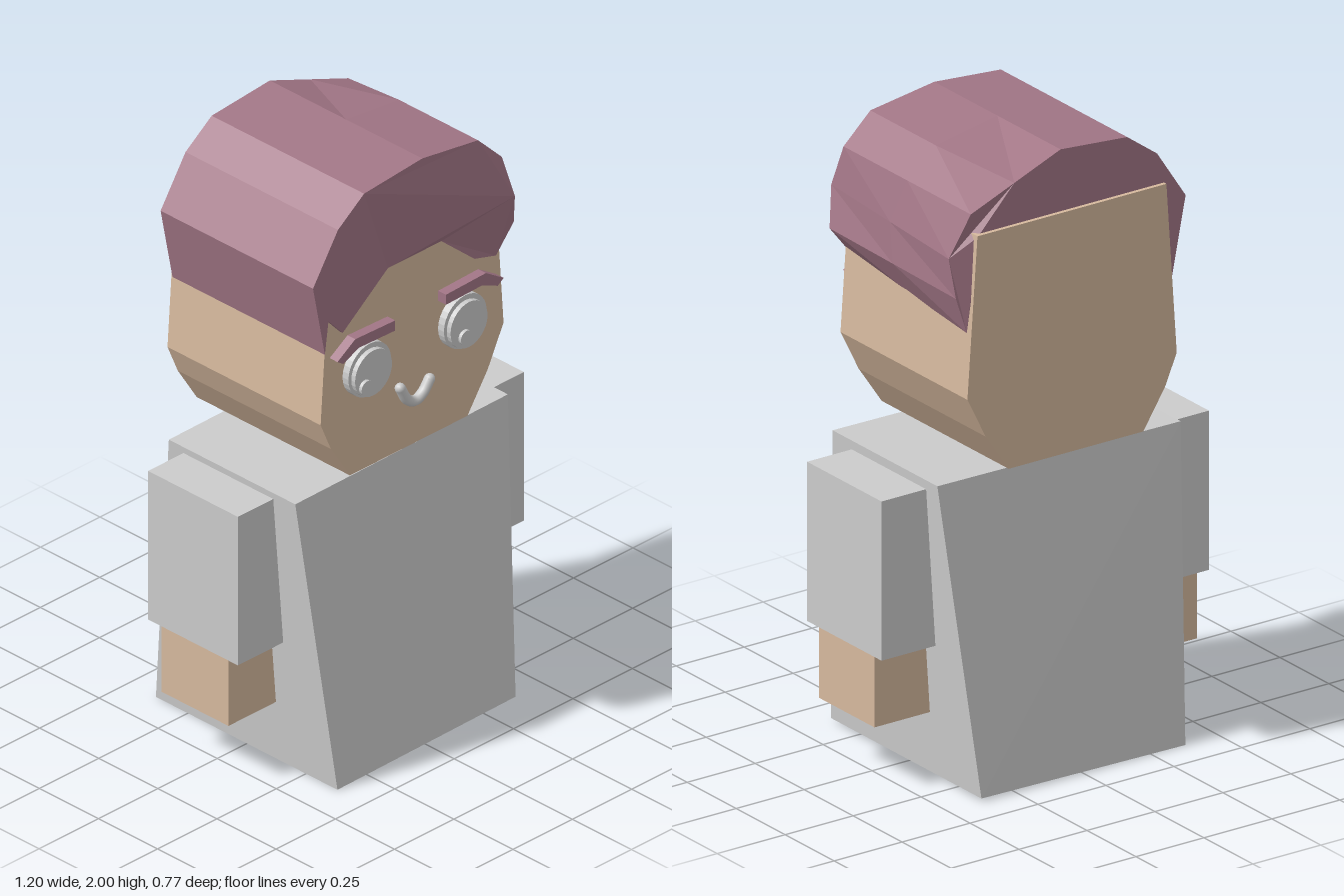
import * as THREE from 'three';

const material = (color) => new THREE.MeshStandardMaterial({ color, flatShading: true });
const GREY = material(0xcccccc), SKIN = material(0xd6b99e), HAIR = material(0xa27686);
const SMOOTH = new THREE.MeshStandardMaterial({ color: 0xcccccc });

function add(parent, name, geometry, mat) {
  const mesh = new THREE.Mesh(geometry, mat);
  mesh.name = name;
  parent.add(mesh);
  return mesh;
}

// Box given by its minimum and maximum corners
function boxBetween([x0, y0, z0], [x1, y1, z1]) {
  return new THREE.BoxGeometry(x1 - x0, y1 - y0, z1 - z0)
    .translate((x0 + x1) / 2, (y0 + y1) / 2, (z0 + z1) / 2);
}

// Outline in x and y, extruded from z0 to z1
function slab(points, z0, z1) {
  const shape = new THREE.Shape(points.map(([x, y]) => new THREE.Vector2(x, y)));
  return new THREE.ExtrudeGeometry(shape, { depth: z1 - z0, bevelEnabled: false }).translate(0, 0, z0);
}

// Solid through closed rings listed front to back, counterclockwise from the front
function loft(rings) {
  const n = rings[0].length, index = [];
  for (let r = 0; r < rings.length - 1; r++) {
    for (let i = 0; i < n; i++) {
      const a = r * n + i, b = r * n + (i + 1) % n;
      index.push(a, a + n, b, b, a + n, b + n);
    }
  }
  const cap = (ring) => THREE.ShapeUtils.triangulateShape(ring.map(([x, y]) => new THREE.Vector2(x, y)), []);
  const last = (rings.length - 1) * n;
  cap(rings[0]).forEach(([a, b, c]) => index.push(a, b, c));
  cap(rings[rings.length - 1]).forEach(([a, b, c]) => index.push(last + a, last + c, last + b));
  const geometry = new THREE.BufferGeometry();
  geometry.setAttribute('position', new THREE.Float32BufferAttribute(rings.flat(2), 3));
  geometry.setIndex(index);
  const flat = geometry.toNonIndexed();
  flat.computeVertexNormals();
  return flat;
}

function hairGeometry() {
  // Outer outline from the +x side over the top, then the fringe back to +x
  const front = [
    [0.345, 1.53, 0.33], [0.415, 1.62, 0.335], [0.38, 1.74, 0.375], [0.36, 1.87, 0.34],
    [0.265, 1.965, 0.335], [0.03, 2, 0.335], [-0.215, 1.98, 0.335], [-0.325, 1.9, 0.335],
    [-0.43, 1.74, 0.335], [-0.38, 1.49, 0.335],
    [-0.365, 1.6, 0.335], [-0.305, 1.535, 0.335], [-0.115, 1.68, 0.335],
    [0.11, 1.68, 0.335], [0.25, 1.56, 0.335],
  ];
  const back = [
    [0.375, 1.49, -0.31], [0.415, 1.61, -0.31], [0.42, 1.73, -0.28], [0.36, 1.87, -0.31],
    [0.2, 1.933, -0.31], [0.03, 2, -0.31], [-0.215, 1.98, -0.31], [-0.325, 1.9, -0.31],
    [-0.43, 1.74, -0.31], [-0.38, 1.49, -0.31],
    [-0.36, 1.52, -0.31], [-0.35, 1.65, -0.31], [-0.34, 1.79, -0.31],
    [0.335, 1.79, -0.31], [0.35, 1.65, -0.31],
  ];
  const middle = front.map((p, i) => p.map((v, k) => (v + back[i][k]) / 2));
  middle[4] = [0.265, 1.965, 0];
  return loft([front, middle, back]);
}

export function createModel() {
  const model = new THREE.Group();
  model.name = 'figure';

  // Torso, wide at the shoulders and deep at the base
  const torso = boxBetween([-0.5, 0, -0.5], [0.5, 1, 0.5]);
  const p = torso.attributes.position;
  for (let i = 0; i < p.count; i++) {
    const right = p.getX(i) > 0, front = p.getZ(i) > 0;
    if (p.getY(i) > 0.5) p.setXYZ(i, right ? 0.44 : -0.455, right ? 0.99 : 0.982, front ? 0.285 : -0.25);
    else p.setXYZ(i, right ? 0.375 : -0.375, right ? 0.01 : 0, front ? 0.383 : -0.385);
  }
  torso.computeVertexNormals();
  add(model, 'torso', torso, GREY);

  // Arms
  for (const side of [1, -1]) {
    const arm = new THREE.Group();
    arm.name = side > 0 ? 'leftArm' : 'rightArm';
    add(arm, 'sleeve', boxBetween([0.3, 0.445, -0.19], [0.602, 0.96, 0.19]), GREY);
    add(arm, 'hand', boxBetween([0.32, 0.21, -0.14], [0.592, 0.46, 0.143]), SKIN);
    if (side < 0) arm.rotation.y = Math.PI;
    model.add(arm);
  }

  // Neck and head
  add(model, 'neck', boxBetween([-0.16, 0.95, -0.17], [0.17, 1.05, 0.18]), SKIN);
  add(model, 'head', slab([
    [-0.265, 1.02], [0.23, 1.02], [0.315, 1.145], [0.382, 1.28],
    [0.345, 1.8], [-0.35, 1.8], [-0.388, 1.245], [-0.345, 1.145],
  ], -0.323, 0.325), SKIN);
  add(model, 'hair', hairGeometry(), HAIR);

  // Eyes: stepped discs with a small pupil
  const disc = (r, z0, z1, x, y) =>
    new THREE.CylinderGeometry(r, r, z1 - z0, 28).rotateX(Math.PI / 2).translate(x, y, (z0 + z1) / 2);
  for (const [name, x, pupilX] of [['leftEye', 0.196, 0.175], ['rightEye', -0.206, -0.243]]) {
    const eye = new THREE.Group();
    eye.name = name;
    add(eye, 'eyeball', disc(0.09, 0.315, 0.35, x, 1.373), GREY);
    add(eye, 'iris', disc(0.078, 0.34, 0.366, x, 1.368), GREY);
    add(eye, 'pupil', disc(0.024, 0.35, 0.377, pupilX, 1.335), GREY);
    model.add(eye);
  }

  // Eyebrows
  const brow = [[0.107, 1.47], [0.26, 1.474], [0.325, 1.445], [0.35, 1.462], [0.275, 1.51], [0.107, 1.505]];
  add(model, 'leftBrow', slab(brow, 0.32, 0.358), HAIR);
  add(model, 'rightBrow', slab(brow.map(([x, y]) => [-x, y]), 0.32, 0.358), HAIR);

  // Smile with rounded ends
  const path = [[-0.076, 1.253], [-0.045, 1.2], [-0.012, 1.185], [0.02, 1.2], [0.048, 1.235]]
    .map(([x, y]) => new THREE.Vector3(x, y, 0.348));
  add(model, 'mouth', new THREE.TubeGeometry(new THREE.CatmullRomCurve3(path), 24, 0.017, 10), SMOOTH);
  for (const end of [path[0], path[4]]) {
    add(model, 'mouthEnd', new THREE.SphereGeometry(0.017, 12, 8), SMOOTH).position.copy(end);
  }

  return model;
}
